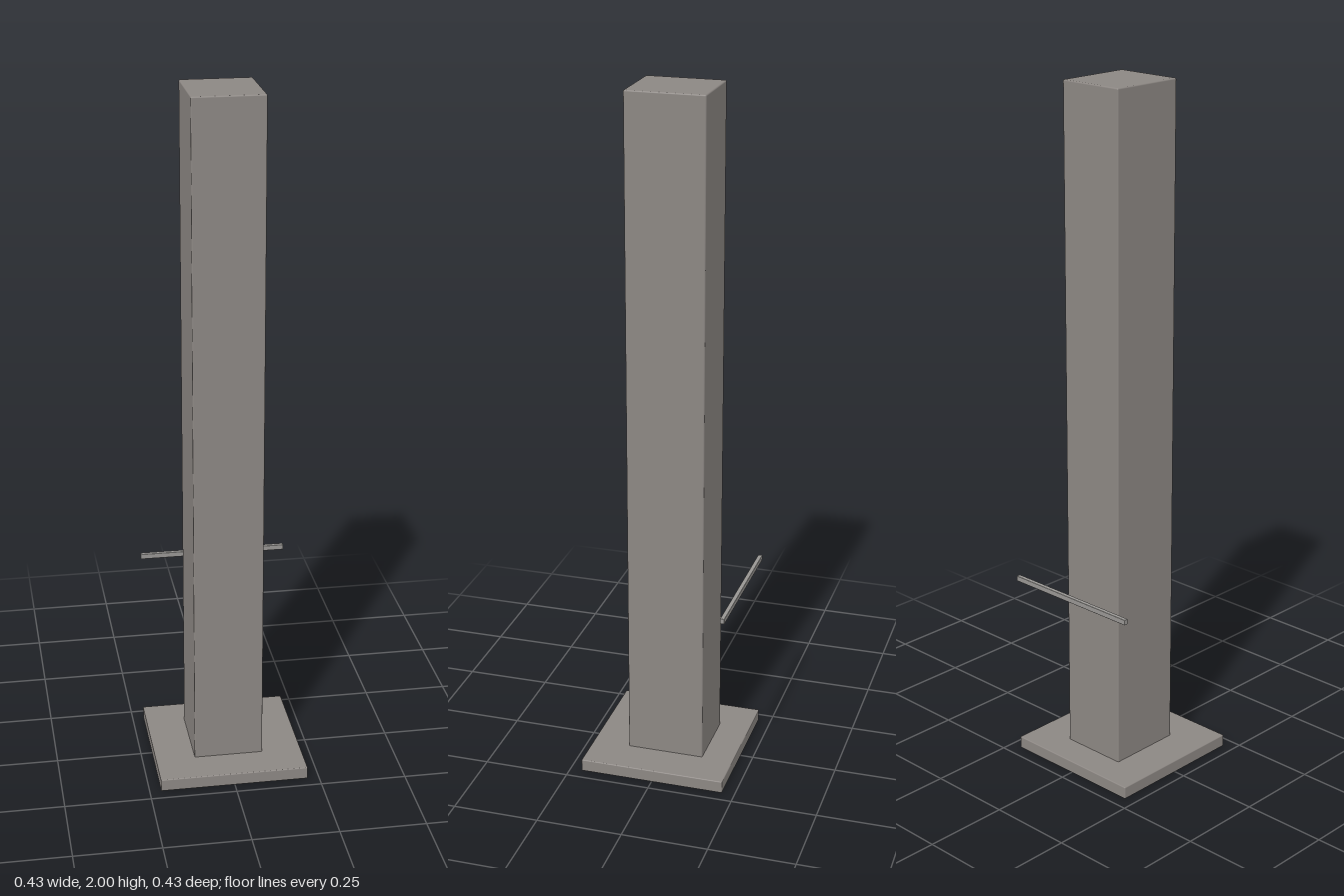
import * as THREE from 'three';
import { RoundedBoxGeometry } from 'three/addons/geometries/RoundedBoxGeometry.js';

export function createModel() {
  const model = new THREE.Group();
  model.name = 'squarePost';

  const greyMetal = new THREE.MeshStandardMaterial({ color: 0x8c8783 });
  greyMetal.name = 'warm grey metal';
  const paleMetal = new THREE.MeshStandardMaterial({ color: 0x989693 });
  paleMetal.name = 'pale grey metal';

  // Softly rounded box given by its lower and upper limits on each axis
  function block(name, material, [x0, x1], [y0, y1], [z0, z1], radius) {
    const geometry = new RoundedBoxGeometry(x1 - x0, y1 - y0, z1 - z0, 2, radius);
    const mesh = new THREE.Mesh(geometry, material);
    mesh.name = name;
    mesh.position.set((x0 + x1) / 2, (y0 + y1) / 2, (z0 + z1) / 2);
    model.add(mesh);
    return mesh;
  }

  // Square foot plate
  block('basePlate', greyMetal, [-0.217, 0.216], [0, 0.037], [-0.213, 0.215], 0.003);

  // Tall column, set slightly towards the back
  block('column', greyMetal, [-0.102, 0.1], [0.03, 2], [-0.121, 0.105], 0.004);

  // Thin crossbar floating behind the column, its ends slightly thicker at the front
  const bar = block('crossbar', paleMetal, [-0.217, 0.216], [0.547, 0.563], [-0.215, -0.204], 0.002);
  const p = bar.geometry.attributes.position;
  for (let i = 0; i < p.count; i++) {
    if (p.getZ(i) > 0 && Math.abs(p.getX(i)) > 0.15) p.setZ(i, p.getZ(i) + 0.002);
  }

  return model;
}
